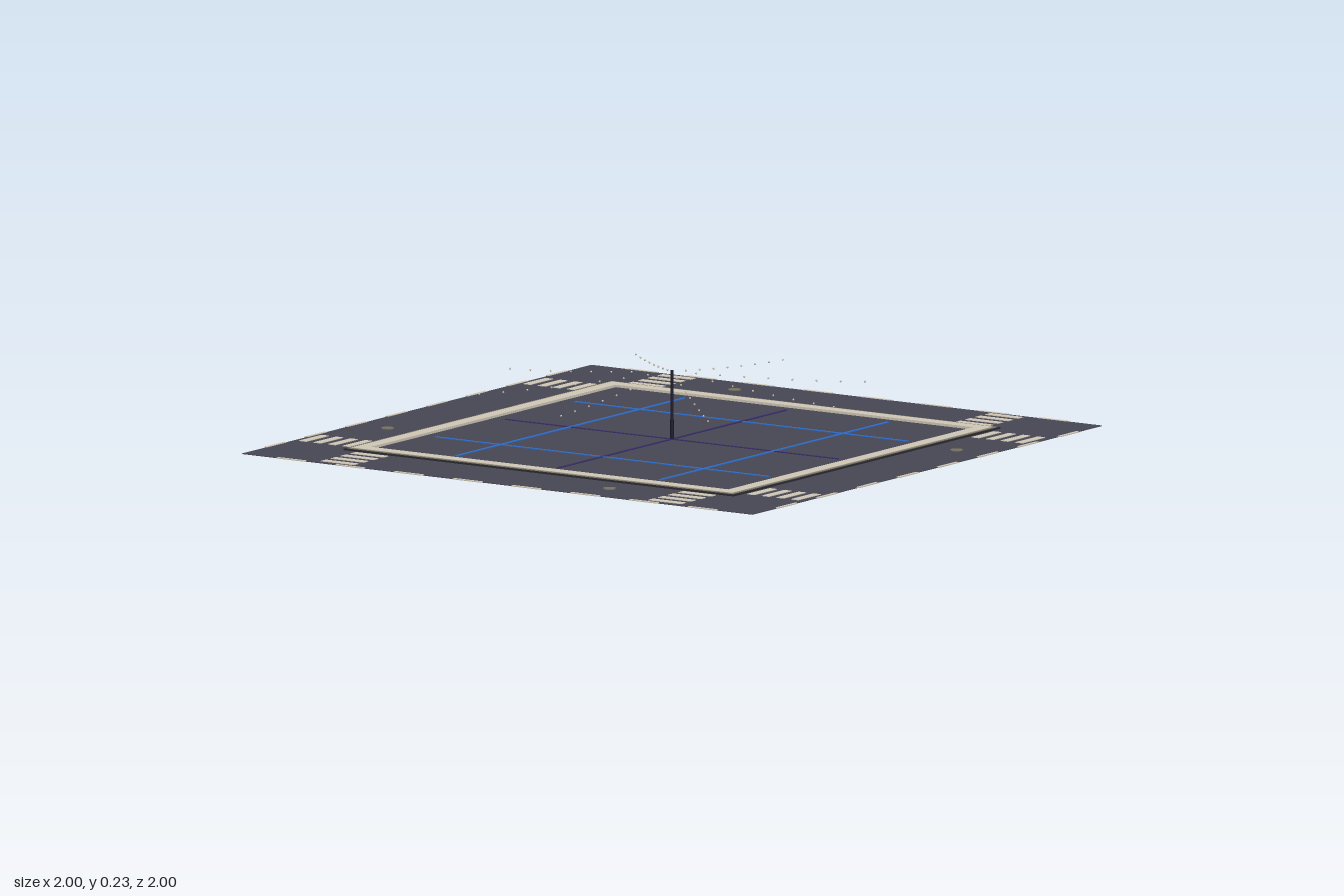
import * as THREE from 'three';

const mat = (name, color) => {
  const m = new THREE.MeshStandardMaterial({ color });
  m.name = name;
  return m;
};

export function createModel() {
  const asphalt = mat('asphalt', 0x474653);
  const cream = mat('cream paving', 0xcfc7b6);
  const stone = mat('curb stone', 0x85806f);
  const dark = mat('dark edging', 0x2a2a30);
  const blue = mat('blue line', 0x2f6fd0);
  const purple = mat('purple line', 0x372d68);
  const navy = mat('mast navy', 0x1a1a2e);
  const cover = mat('manhole metal', 0x77735f);

  const model = new THREE.Group();
  model.name = 'cityBlock';

  const add = (name, geo, material, x, y, z, parent = model) => {
    const mesh = new THREE.Mesh(geo, material);
    mesh.name = name;
    mesh.position.set(x, y, z);
    parent.add(mesh);
    return mesh;
  };
  const box = (name, w, h, d, material, x, bottom, z, parent) =>
    add(name, new THREE.BoxGeometry(w, h, d), material, x, bottom + h / 2, z, parent);

  // Square frame standing on the ground
  const frame = (name, outer, inner, height, material) => {
    const square = (r, Type) => {
      const s = new Type();
      s.moveTo(-r, -r);
      s.lineTo(r, -r);
      s.lineTo(r, r);
      s.lineTo(-r, r);
      s.closePath();
      return s;
    };
    const shape = square(outer, THREE.Shape);
    shape.holes.push(square(inner, THREE.Path));
    const geo = new THREE.ExtrudeGeometry(shape, { depth: height, bevelEnabled: false });
    geo.rotateX(-Math.PI / 2);
    add(name, geo, material, 0, 0, 0);
  };

  // Road slab
  box('ground', 1.986, 0.002, 1.986, asphalt, 0, 0, 0);

  // Stepped pavement around the block
  frame('curbEdge', 0.758, 0.749, 0.007, dark);
  frame('curb', 0.75, 0.739, 0.009, stone);
  frame('sidewalk', 0.74, 0.695, 0.01, cream);

  // Each side of the block: crosswalks, edge dashes, manhole
  for (let side = 0; side < 4; side++) {
    const street = new THREE.Group();
    street.name = 'street';
    street.rotation.y = side * Math.PI / 2;
    model.add(street);
    for (const s of [-1, 1]) {
      for (let i = 0; i < 4; i++) {
        box('crosswalkStripe', 0.128, 0.002, 0.029, cream, s * 0.637, 0.002, 0.787 + i * 0.0567, street);
      }
    }
    for (let i = 0; i < 8; i++) {
      box('laneDash', 0.11, 0.003, 0.012, cream, (i - 3.5) * 0.2285, 0.0005, 0.994, street);
    }
    add('manhole', new THREE.CylinderGeometry(0.021, 0.021, 0.003, 16), cover, 0.35, 0.0035, 0.867, street);
  }

  // Grid lines across the plaza
  for (const s of [-1, 1]) {
    box('blueLineAlong', 0.01, 0.003, 1.295, blue, s * 0.395, 0.002, 0);
    box('blueLineAcross', 1.295, 0.0025, 0.01, blue, 0, 0.002, s * 0.395);
  }
  box('purpleLineAlong', 0.009, 0.003, 1.295, purple, 0, 0.002, 0);
  box('purpleLineAcross', 1.295, 0.0025, 0.009, purple, 0, 0.002, 0);

  // Central mast
  add('mast', new THREE.CylinderGeometry(0.005, 0.006, 0.226, 8), navy, 0, 0.115, 0);

  // Eight sagging strings of small lights around the mast
  const bulb = new THREE.SphereGeometry(0.0035, 6, 4);
  for (let k = 0; k < 8; k++) {
    const string = new THREE.Group();
    string.name = 'lightString';
    string.rotation.y = k * Math.PI / 4;
    model.add(string);
    for (let i = 1; i <= 8; i++) {
      const r = i * 0.0787;
      const y = 0.17 + 0.045 * Math.pow((0.65 - r) / 0.57, 1.4);
      add('bulb', bulb, cream, r, y, 0, string);
    }
  }
  return model;
}
